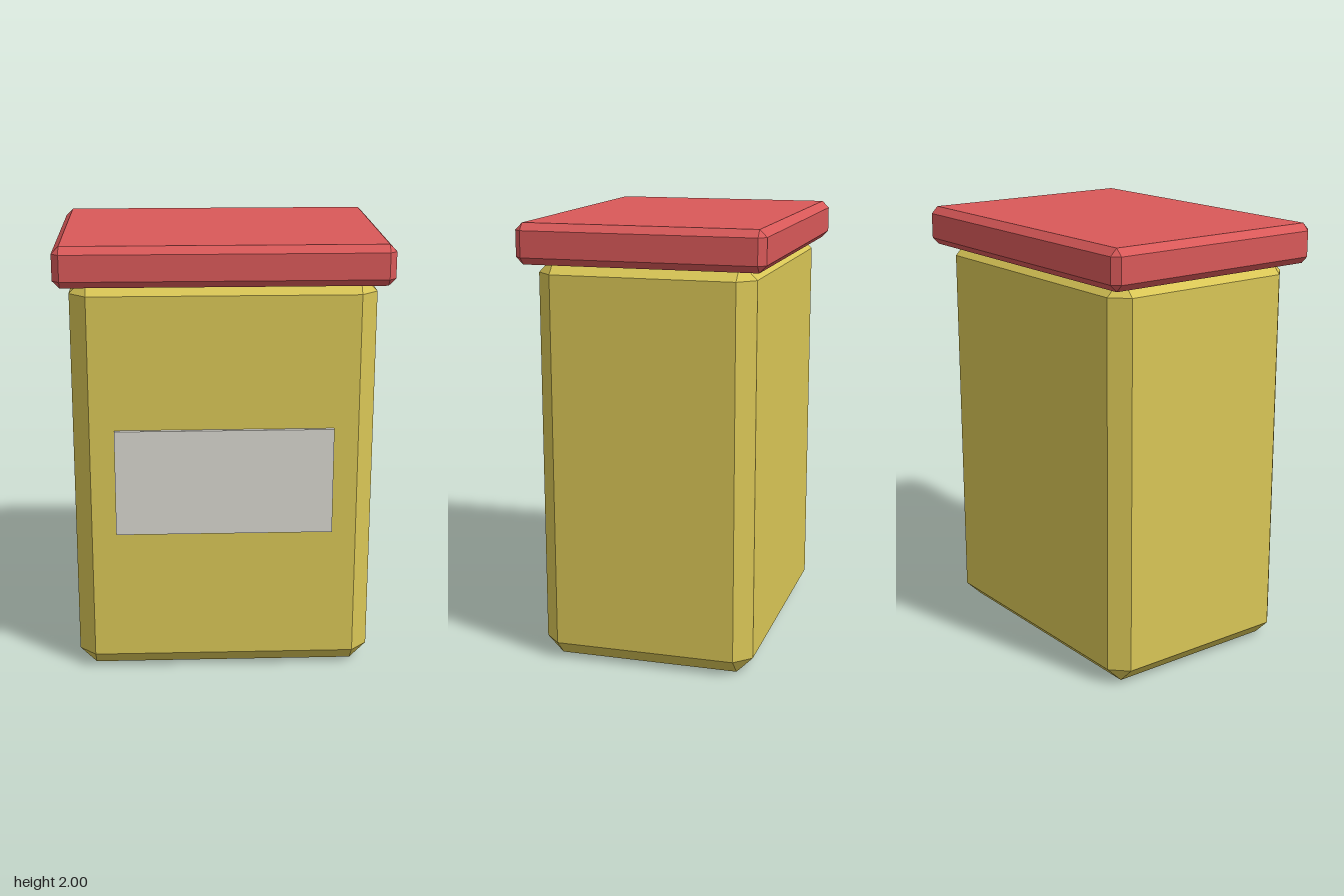
import * as THREE from 'three';
import { ConvexGeometry } from 'three/addons/geometries/ConvexGeometry.js';

// Box with flat chamfers on every edge, standing on y = 0
function chamferedBox(width, height, depth, c) {
  const half = [width / 2, height / 2, depth / 2];
  const points = [];
  for (const sx of [-1, 1]) for (const sy of [-1, 1]) for (const sz of [-1, 1]) {
    // each corner becomes three points, one on each adjoining face
    for (let face = 0; face < 3; face++) {
      const p = half.map((h, axis) => (axis === face ? h : h - c));
      points.push(new THREE.Vector3(sx * p[0], sy * p[1] + half[1], sz * p[2]));
    }
  }
  return new ConvexGeometry(points);
}

export function createModel() {
  const model = new THREE.Group();
  model.name = 'jar';

  const material = (name, color) => {
    const m = new THREE.MeshStandardMaterial({ color });
    m.name = name;
    return m;
  };
  const add = (name, geometry, mat, y, z = 0) => {
    const mesh = new THREE.Mesh(geometry, mat);
    mesh.name = name;
    mesh.position.set(0, y, z);
    model.add(mesh);
  };

  // Body, its top chamfer tucked up into the lid
  add('body', chamferedBox(1.35, 1.85, 0.98, 0.075), material('mustard', 0xd9c656), 0);

  // Overhanging lid
  add('lid', chamferedBox(1.475, 0.18, 1.105, 0.032), material('red', 0xd95959), 1.82);

  // Front label, partly sunk into the body
  add('label', new THREE.BoxGeometry(0.98, 0.49, 0.03), material('paleGrey', 0xd9d7d0), 0.925, 0.493);

  return model;
}
